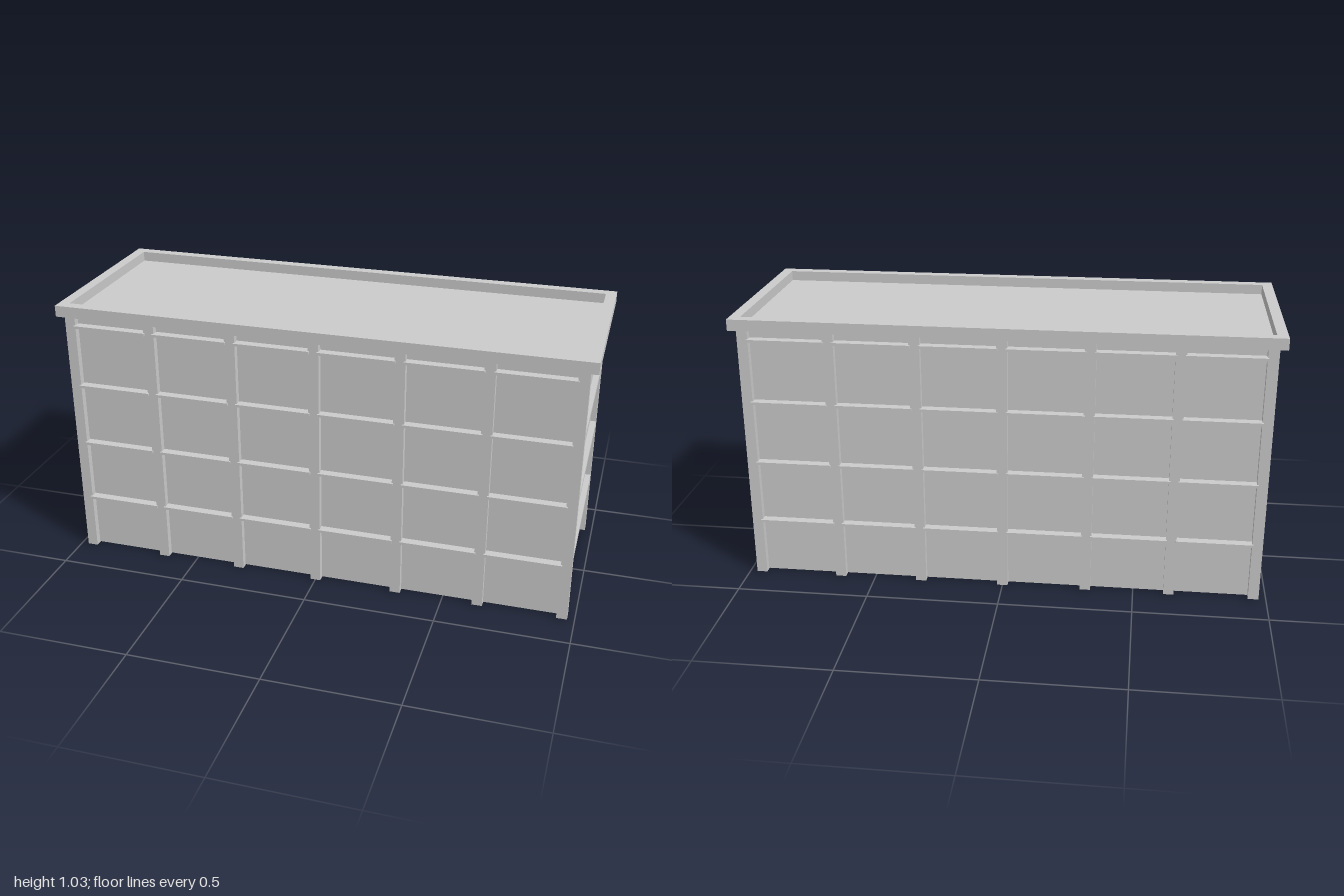
import * as THREE from 'three';

export function createModel() {
  const model = new THREE.Group();
  const material = new THREE.MeshStandardMaterial({ color: 0xcccccc, flatShading: true });

  // Box given by its centre x/z, its bottom and top, and its width and depth
  function box(name, x, y0, y1, z, w, d, parent = model) {
    const mesh = new THREE.Mesh(new THREE.BoxGeometry(w, y1 - y0, d), material);
    mesh.position.set(x, (y0 + y1) / 2, z);
    mesh.name = name;
    parent.add(mesh);
    return mesh;
  }
  function group(name) {
    const g = new THREE.Group();
    g.name = name;
    model.add(g);
    return g;
  }

  const wallTop = 0.992, roofTop = 1.035;
  const pitch = 0.3175, columnSize = 0.04;

  // Building body and the roof deck sunk behind the parapet
  box('walls', 0, 0.003, wallTop, 0, 1.9, 0.66);
  box('roofDeck', 0, 0.985, 0.997, 0, 1.93, 0.67);

  // Parapet: rectangular frame overhanging the walls
  const outline = (w, d, Type) => new Type([
    new THREE.Vector2(-w, -d), new THREE.Vector2(w, -d),
    new THREE.Vector2(w, d), new THREE.Vector2(-w, d),
  ]);
  const frame = outline(1, 0.371, THREE.Shape);
  frame.holes.push(outline(0.96, 0.331, THREE.Path));
  const parapetGeometry = new THREE.ExtrudeGeometry(frame, { depth: roofTop - wallTop, bevelEnabled: false });
  parapetGeometry.rotateX(-Math.PI / 2);
  const parapet = new THREE.Mesh(parapetGeometry, material);
  parapet.position.y = wallTop;
  parapet.name = 'parapet';
  model.add(parapet);

  const columns = group('columns');
  const sills = group('windowSills');
  const bands = group('endBands');
  const storeys = [0, 1, 2, 3];

  for (const side of [1, -1]) {
    // Seven columns along each long side
    for (let i = -3; i <= 3; i++) {
      box('column', i * pitch, 0, wallTop, side * 0.335, columnSize, columnSize, columns);
    }
    for (const s of storeys) {
      // Thin sill bars in the six bays of each long side
      const y = 0.225 + s * 0.2425;
      for (let bay = -2.5; bay <= 2.5; bay++) {
        box('sill', bay * pitch, y - 0.005, y + 0.005, side * 0.3445, 0.2875, 0.037, sills);
      }
      // Floor bands on the end walls, flush with the corner columns
      const bottom = 0.239 + s * 0.242;
      const top = s === 3 ? wallTop : bottom + 0.023;
      box('floorBand', side * 0.9575, bottom, top, 0, 0.03, 0.64, bands);
    }
  }
  return model;
}
